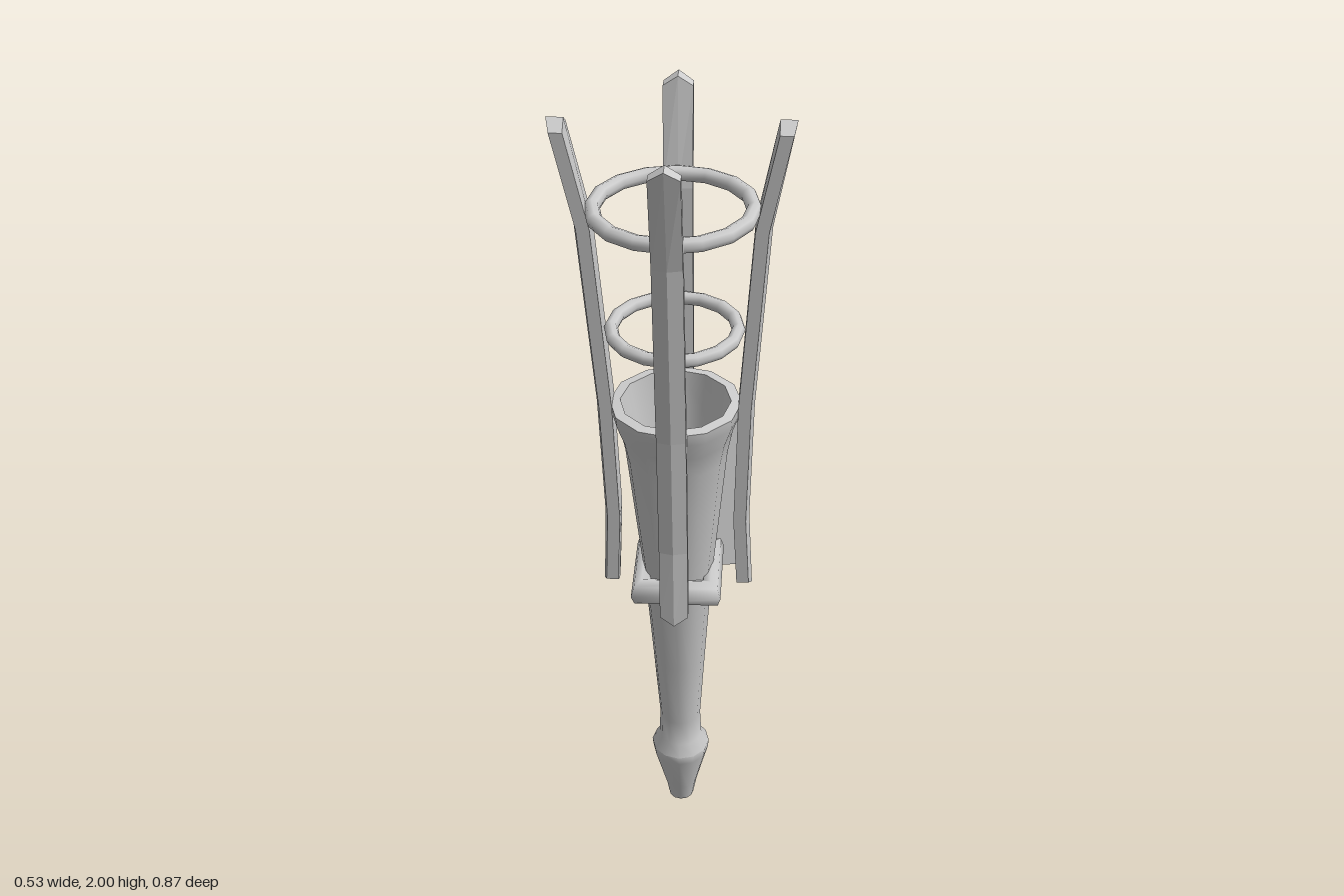
import * as THREE from 'three';
import { toCreasedNormals } from 'three/addons/utils/BufferGeometryUtils.js';

const smooth = new THREE.MeshStandardMaterial({ color: 0xcccccc });
const faceted = new THREE.MeshStandardMaterial({ color: 0xcccccc, flatShading: true });

function add(parent, name, geometry, material = smooth) {
  const mesh = new THREE.Mesh(geometry, material);
  mesh.name = name;
  parent.add(mesh);
  return mesh;
}

// Bent bar with a slight outer ridge and pointed ends; path entries are [height, radius]
function barGeometry(path) {
  const w = 0.034, t = 0.015, ridge = 0.008, point = 0.022;
  const section = [[-w, t], [0, t + ridge], [w, t], [w, -t], [0, -t], [-w, -t]];
  const positions = [], index = [];
  const last = path.length - 1;
  path.forEach(([y, r], i) => {
    const tip = i === 0 ? -point : i === last ? point : 0;
    for (const [x, z] of section) positions.push(x, y + (x === 0 ? tip : 0), r + z);
  });
  const quad = (a, b, c, d) => index.push(a, b, c, a, c, d);
  for (let i = 0; i < last; i++) {
    for (let j = 0; j < 6; j++) {
      const k = (j + 1) % 6;
      quad(i * 6 + j, i * 6 + k, i * 6 + 6 + k, i * 6 + 6 + j);
    }
  }
  const e = last * 6;
  quad(e, e + 1, e + 4, e + 5);
  quad(e + 1, e + 2, e + 3, e + 4);
  quad(5, 4, 1, 0);
  quad(4, 3, 2, 1);
  const geometry = new THREE.BufferGeometry();
  geometry.setAttribute('position', new THREE.Float32BufferAttribute(positions, 3));
  geometry.setIndex(index);
  geometry.computeVertexNormals();
  return geometry;
}

export function createModel() {
  const model = new THREE.Group();
  model.name = 'wallTorch';

  // Everything but the wall mount leans forward
  const torch = new THREE.Group();
  torch.name = 'torch';
  torch.position.set(0, 0.012, -0.23);
  torch.rotation.x = 0.203;
  model.add(torch);

  // Pommel, tapering handle and hollow flared cup in one profile
  const profile = [
    [0, 0], [0.033, 0], [0.042, 0.05], [0.073, 0.17], [0.076, 0.195], [0.056, 0.225],
    [0.053, 0.3], [0.066, 0.5], [0.084, 0.76], [0.108, 1.0], [0.122, 1.14],
    [0.134, 1.2], [0.152, 1.25], [0.155, 1.28], [0.13, 1.283], [0.115, 1.2], [0.1, 1.1], [0.06, 1.07], [0, 1.07],
  ].map(([r, y]) => new THREE.Vector2(r, y));
  add(torch, 'handleAndCup', toCreasedNormals(new THREE.LatheGeometry(profile, 12), 0.75));

  // Four-cornered rounded collar around the handle
  const collar = new THREE.TorusGeometry(0.12, 0.036, 8, 4).rotateZ(Math.PI / 4).rotateX(Math.PI / 2);
  add(torch, 'collar', collar).position.y = 0.775;

  // Hoops joining the bars above the cup
  for (const [y, radius, tube] of [[1.475, 0.145, 0.016], [1.775, 0.177, 0.018]]) {
    const hoop = new THREE.TorusGeometry(radius, tube, 8, 16).rotateX(Math.PI / 2);
    add(torch, 'hoop', hoop).position.y = y;
  }

  // Four cage bars
  const bar = barGeometry([[0.77, 0.162], [0.96, 0.153], [1.28, 0.162], [1.735, 0.195], [1.96, 0.243]]);
  ['frontBar', 'leftBar', 'backBar', 'rightBar'].forEach((name, i) => {
    add(torch, name, bar, faceted).rotation.y = i * Math.PI / 2;
  });

  // Wall plate with a shallow pointed front
  const outline = new THREE.Shape([
    [-0.122, 0.435], [0.138, 0.435], [0.138, 0.393], [0.008, 0.367], [-0.122, 0.391],
  ].map(([x, y]) => new THREE.Vector2(x, y)));
  const plate = new THREE.ExtrudeGeometry(outline, { depth: 0.415, bevelEnabled: false });
  plate.rotateX(-Math.PI / 2);
  add(model, 'wallPlate', plate, faceted).position.y = 0.635;

  // Arm between plate and collar
  add(model, 'mountArm', new THREE.BoxGeometry(0.06, 0.034, 0.27), faceted).position.set(0, 0.787, -0.24);

  return model;
}
